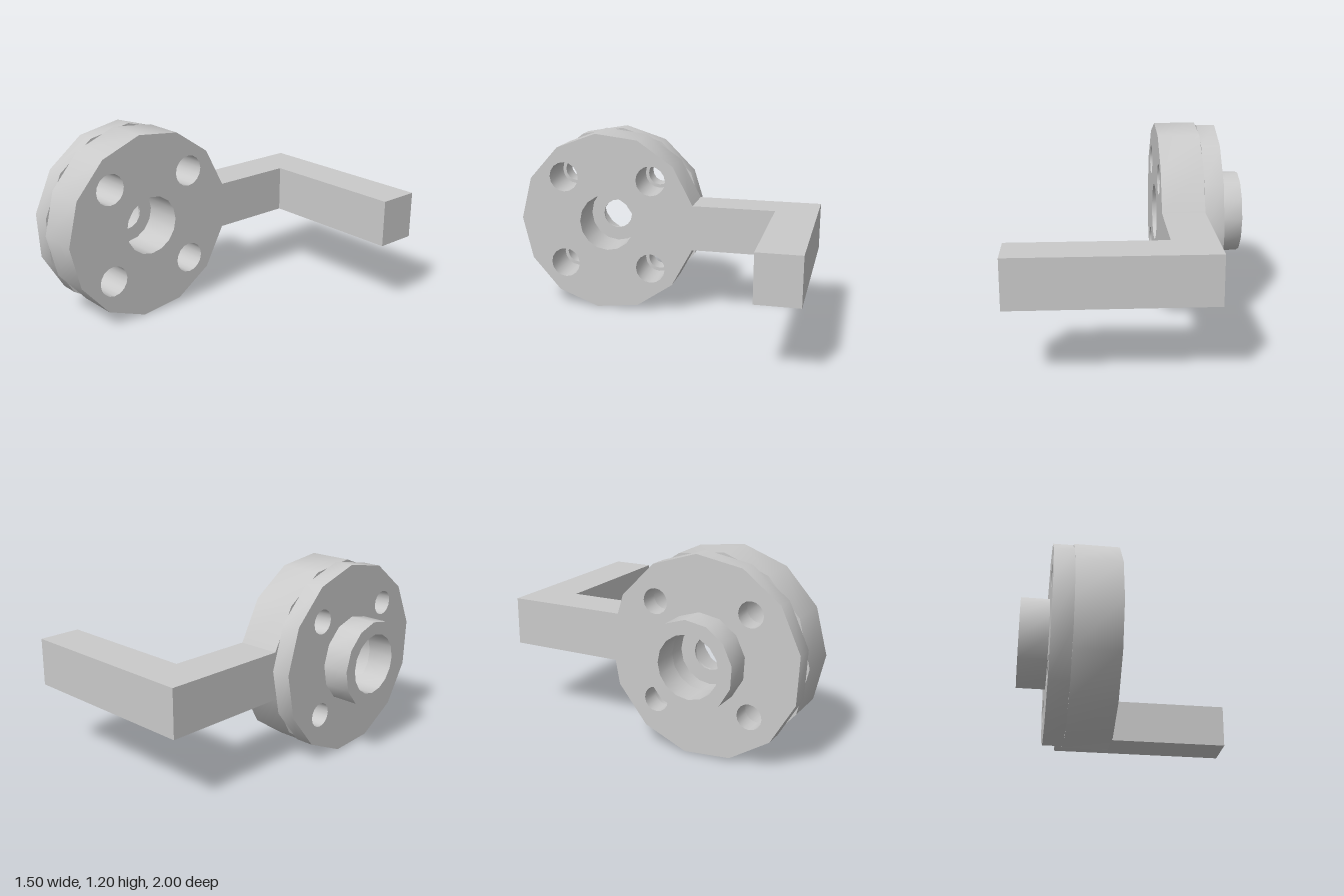
import * as THREE from 'three';
import { toCreasedNormals } from 'three/addons/utils/BufferGeometryUtils.js';

const CY = 0.6, CZ = 0.395, R = 0.605; // disc axis and radius
const ARM = 0.15;                      // half height of the arm

export function createModel() {
  const group = new THREE.Group();
  group.name = 'flangedCrank';
  const steel = new THREE.MeshStandardMaterial({ color: 0xcacaca });
  steel.name = 'grey steel';

  // Profiles are drawn in the plane across the axis: shape x is -z, shape y is y.
  // Angles run counterclockwise from the side away from the arm.
  const point = (r, degrees) => {
    const a = THREE.MathUtils.degToRad(degrees);
    return new THREE.Vector2(-CZ - r * Math.cos(a), CY - r * Math.sin(a));
  };
  const polygon = (r, sides, phase) =>
    Array.from({ length: sides }, (_, i) => point(r, phase + (i * 360) / sides));
  const bore = (r) => new THREE.Path(polygon(r, 16, 0).reverse());
  const boltHoles = (r) => [45, 135, 225, 315].map((degrees) => {
    const c = point(0.3 * Math.SQRT2, degrees);
    return new THREE.Path().absarc(c.x, c.y, r, 0, Math.PI * 2, true);
  });

  function add(name, geometry) {
    const mesh = new THREE.Mesh(geometry, steel);
    mesh.name = name;
    group.add(mesh);
  }
  function plate(name, outline, holes, x0, x1) {
    const shape = new THREE.Shape(outline);
    shape.holes.push(...holes);
    const geometry = new THREE.ExtrudeGeometry(shape, {
      depth: x1 - x0, bevelEnabled: false, curveSegments: 8,
    });
    geometry.rotateY(Math.PI / 2).translate(x0, 0, 0);
    add(name, toCreasedNormals(geometry, 0.65));
  }

  // Front disc running out into the arm
  const end = 180 - THREE.MathUtils.radToDeg(Math.asin(ARM / R));
  const discAndArm = Array.from({ length: 13 }, (_, i) => point(R, end * (i / 6 - 1)));
  discAndArm.push(new THREE.Vector2(1, CY - ARM), new THREE.Vector2(1, CY + ARM));
  plate('discWithArm', discAndArm, [bore(0.19), ...boltHoles(0.1)], -0.46, -0.19);

  // Rear flange with narrower bolt holes
  plate('rearFlange', polygon(R, 13, -93.5), [bore(0.19), ...boltHoles(0.077)], -0.58, -0.46);

  // Hub boss and the thin web inside its bore
  plate('hubBoss', polygon(0.273, 13, -93.5), [bore(0.19)], -0.75, -0.58);
  plate('boreWeb', polygon(0.19, 16, 0), [bore(0.1)], -0.47, -0.455);

  // Handle at the end of the arm
  const handle = new THREE.BoxGeometry(0.94, 2 * ARM, 0.27);
  handle.translate(0.28, CY, -0.865);
  add('handle', handle);

  return group;
}
